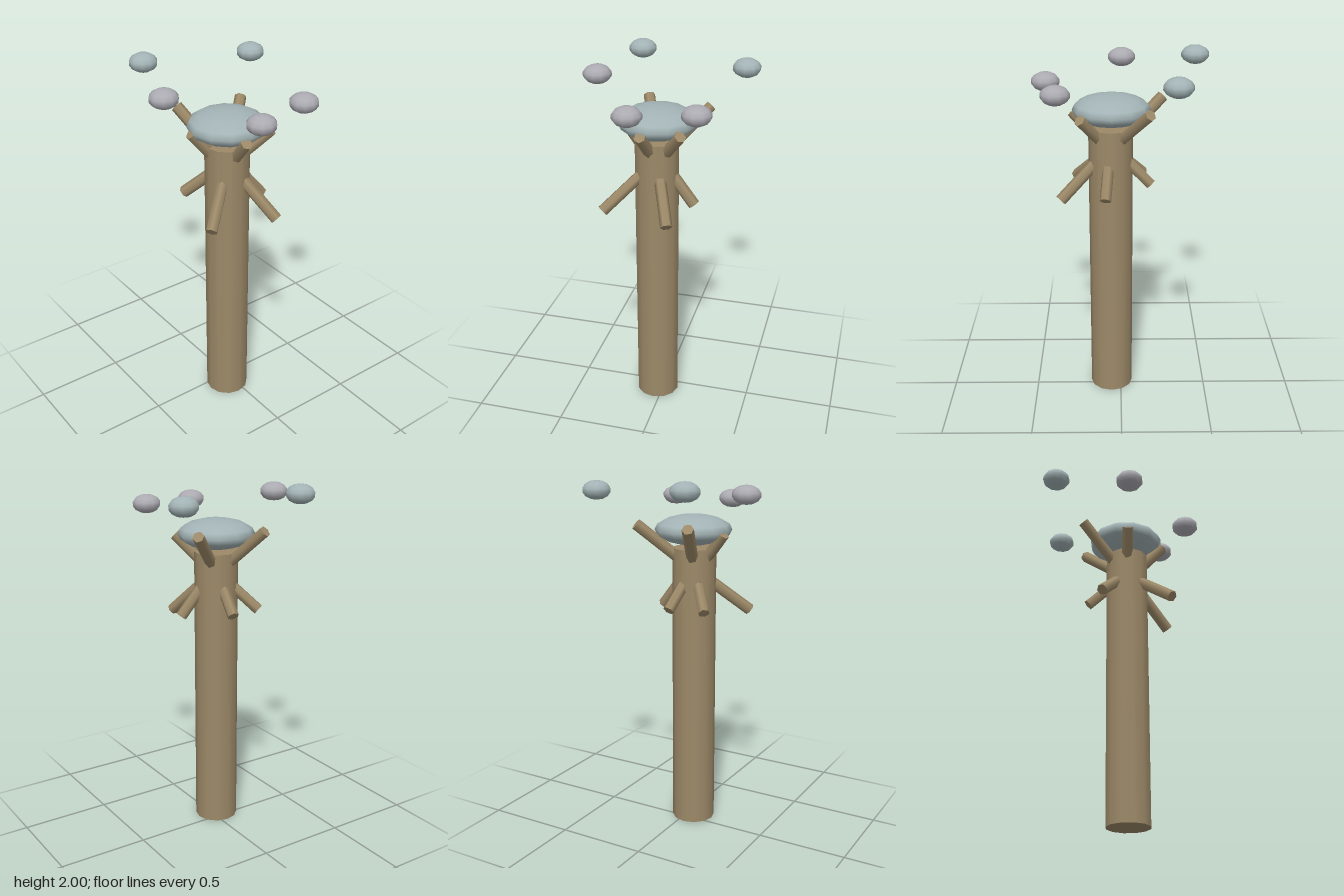
import * as THREE from 'three';

const AXIS_X = -0.035, AXIS_Z = 0.055;
const bark = new THREE.MeshStandardMaterial({ color: 0x9c8968 });
const pale = new THREE.MeshStandardMaterial({ color: 0xa3b3b5 });
const lilac = new THREE.MeshStandardMaterial({ color: 0xacabb2 });

function add(group, name, geometry, material, x, y, z) {
  const mesh = new THREE.Mesh(geometry, material);
  mesh.name = name;
  mesh.position.set(x, y, z);
  group.add(mesh);
  return mesh;
}

// Six-sided branch running outward from the trunk to its tip
function addBranch(group, name, startY, [x, y, z]) {
  const tip = new THREE.Vector3(x, y, z);
  const out = new THREE.Vector3(x - AXIS_X, 0, z - AXIS_Z).normalize();
  const start = new THREE.Vector3(AXIS_X, startY, AXIS_Z).addScaledVector(out, 0.08);
  const dir = tip.clone().sub(start);
  const mid = start.clone().add(tip).multiplyScalar(0.5);
  const branch = add(group, name, new THREE.CylinderGeometry(0.032, 0.032, dir.length(), 6), bark, mid.x, mid.y, mid.z);
  branch.quaternion.setFromUnitVectors(new THREE.Vector3(0, 1, 0), dir.normalize());
}

export function createModel() {
  const model = new THREE.Group();
  model.name = 'branchedColumn';

  // Trunk
  add(model, 'trunk', new THREE.CylinderGeometry(0.121, 0.121, 1.6, 12), bark, AXIS_X, 0.8, AXIS_Z);

  // Flattened crown resting on the trunk
  const crown = add(model, 'crown', new THREE.SphereGeometry(0.212, 12, 8), pale, AXIS_X + 0.003, 1.699, AXIS_Z - 0.005);
  crown.scale.y = 0.39;

  // Upper branches rise, lower branches droop
  [
    [0.21, 1.735, -0.15], [-0.155, 1.74, -0.23], [-0.235, 1.69, 0.015],
    [0.13, 1.685, 0.215], [-0.068, 1.68, 0.262],
  ].forEach((tip) => addBranch(model, 'upperBranch', 1.54, tip));
  [
    [-0.283, 1.24, 0.253], [0.088, 1.225, 0.327], [0.178, 1.255, 0.083],
    [0, 1.285, -0.165], [-0.195, 1.285, -0.125],
  ].forEach((tip) => addBranch(model, 'lowerBranch', 1.42, tip));

  // Floating pods around the crown
  const podGeometry = new THREE.SphereGeometry(0.078, 10, 7).rotateY(Math.PI / 2).scale(1, 0.66, 1);
  [
    [-0.24, 1.949, -0.407, pale], [0.372, 1.919, -0.277, pale], [-0.375, 1.907, -0.007, lilac],
    [0.239, 1.847, 0.331, lilac], [-0.09, 1.838, 0.402, lilac],
  ].forEach(([x, y, z, material]) => add(model, 'floatingPod', podGeometry, material, x, y, z));

  return model;
}
